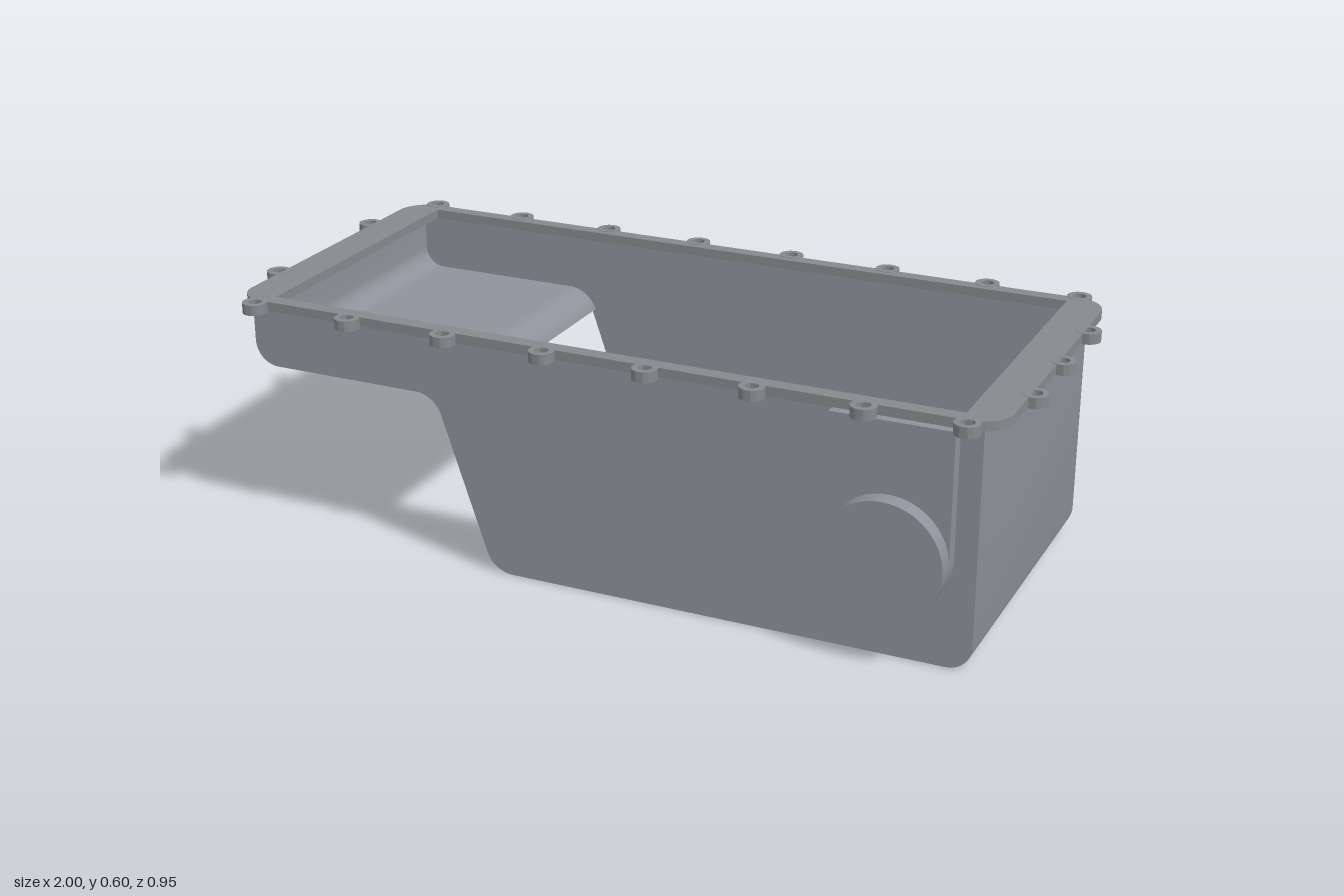
import * as THREE from 'three';
import { toCreasedNormals } from 'three/addons/utils/BufferGeometryUtils.js';

const V = (x, y) => new THREE.Vector2(x, y);

// Rounds every inner corner of an open path with an arc of the given radius.
function filletPath(corners, radii, segs = 10) {
  const pts = [corners[0]];
  for (let i = 1; i < corners.length - 1; i++) {
    const c = corners[i];
    const a = corners[i - 1].clone().sub(c).normalize();
    const b = corners[i + 1].clone().sub(c).normalize();
    const half = Math.acos(a.dot(b)) / 2;
    const r = radii[i - 1];
    const centre = a.clone().add(b).normalize().multiplyScalar(r / Math.sin(half)).add(c);
    const start = a.clone().multiplyScalar(r / Math.tan(half)).add(c).sub(centre);
    const sweep = (Math.PI - 2 * half) * Math.sign(b.cross(a));
    for (let k = 0; k <= segs; k++) {
      pts.push(start.clone().rotateAround(V(0, 0), sweep * k / segs).add(centre));
    }
  }
  pts.push(corners[corners.length - 1]);
  return pts;
}

// Turns a path into a thin closed outline, thickened towards its left side.
function ribbonShape(pts, t) {
  const inner = pts.map((p, i) => {
    const d = pts[Math.min(i + 1, pts.length - 1)].clone().sub(pts[Math.max(i - 1, 0)]).normalize();
    return V(p.x - d.y * t, p.y + d.x * t);
  });
  return new THREE.Shape([...pts, ...inner.reverse()]);
}

function extrude(shape, z0, z1) {
  const g = new THREE.ExtrudeGeometry(shape, { depth: z1 - z0, bevelEnabled: false, curveSegments: 24 });
  g.translate(0, 0, z0);
  return toCreasedNormals(g, 0.5);
}

function roundedRect(x0, y0, x1, y1, r) {
  const s = new THREE.Shape();
  s.absarc(x1 - r, y1 - r, r, 0, Math.PI / 2);
  s.absarc(x0 + r, y1 - r, r, Math.PI / 2, Math.PI);
  s.absarc(x0 + r, y0 + r, r, Math.PI, Math.PI * 1.5);
  s.absarc(x1 - r, y0 + r, r, Math.PI * 1.5, Math.PI * 2);
  s.closePath();
  return s;
}

export function createModel() {
  const group = new THREE.Group();
  const panGrey = new THREE.MeshStandardMaterial({ color: 0x8e929a });
  panGrey.name = 'pan grey';
  const rimGrey = new THREE.MeshStandardMaterial({ color: 0x878a8d });
  rimGrey.name = 'rim grey';

  const add = (name, geometry, material, parent = group) => {
    const m = new THREE.Mesh(geometry, material);
    m.name = name;
    parent.add(m);
    return m;
  };

  const T = 0.01, BACK = -0.41, FRONT = 0.397, RIM_Y = 0.576, TOP = 0.6;

  // Side profile: shallow shelf, slope and deep sump
  const profile = filletPath(
    [V(-0.917, RIM_Y), V(-0.917, 0.43), V(-0.422, 0.43), V(-0.276, 0), V(0.915, 0), V(0.915, RIM_Y)],
    [0.06, 0.07, 0.07, 0.06]);

  // Front and back walls
  const wall = new THREE.Shape(profile);
  add('frontWall', extrude(wall, FRONT - T, FRONT), panGrey);
  add('backWall', extrude(wall, BACK, BACK + T), panGrey);

  // Bent floors with their end walls; the slope between them is open
  add('shelfFloor', extrude(ribbonShape(profile.slice(0, 23), T), BACK + T, FRONT - T), panGrey);
  add('sumpFloor', extrude(ribbonShape(profile.slice(23), T), BACK + T, FRONT - T), panGrey);

  // Rim flange, drawn in plan (shape y = -z) and laid flat
  const plan = (shape, y0, y1) => extrude(shape, y0, y1).rotateX(-Math.PI / 2);
  const rim = roundedRect(-0.96, -0.41, 0.96, 0.435, 0.075);
  rim.holes.push(new THREE.Path([V(-0.868, -0.372), V(-0.868, 0.4), V(0.866, 0.4), V(0.866, -0.372)]));
  add('rimFlange', plan(rim, RIM_Y, TOP - 0.001), rimGrey);

  // Bolt eyelets around the rim
  const eyelet = new THREE.Shape().absarc(0, 0, 0.03, 0, Math.PI * 2);
  eyelet.holes.push(new THREE.Path().absarc(0, 0, 0.016, 0, Math.PI * 2, true));
  const eyeletGeometry = plan(eyelet, RIM_Y - 0.002, TOP);
  const eyelets = new THREE.Group();
  eyelets.name = 'boltEyelets';
  group.add(eyelets);
  const spots = [];
  for (const x of [-0.893, -0.635, -0.377, -0.12, 0.138, 0.396, 0.654, 0.885]) {
    spots.push([x, -0.445], [x, 0.424]);
  }
  for (const z of [-0.225, 0.205]) spots.push([-0.97, z]);
  for (const z of [-0.225, -0.01, 0.205]) spots.push([0.967, z]);
  for (const [x, z] of spots) add('boltEyelet', eyeletGeometry, rimGrey, eyelets).position.set(x, 0, z);

  // U-shaped pad and round boss on the front wall
  const cx = 0.72, cy = 0.263, r = 0.143;
  const pad = new THREE.Shape();
  pad.moveTo(cx + r, RIM_Y);
  pad.lineTo(cx - r, RIM_Y);
  pad.lineTo(cx - r, cy);
  pad.absarc(cx, cy, r, Math.PI, Math.PI * 2);
  pad.closePath();
  add('bossPad', extrude(pad, FRONT - 0.002, 0.432), panGrey);
  const boss = new THREE.CylinderGeometry(r, r, 0.075, 48).rotateX(Math.PI / 2);
  add('roundBoss', boss, panGrey).position.set(cx, cy, 0.4375);

  return group;
}
